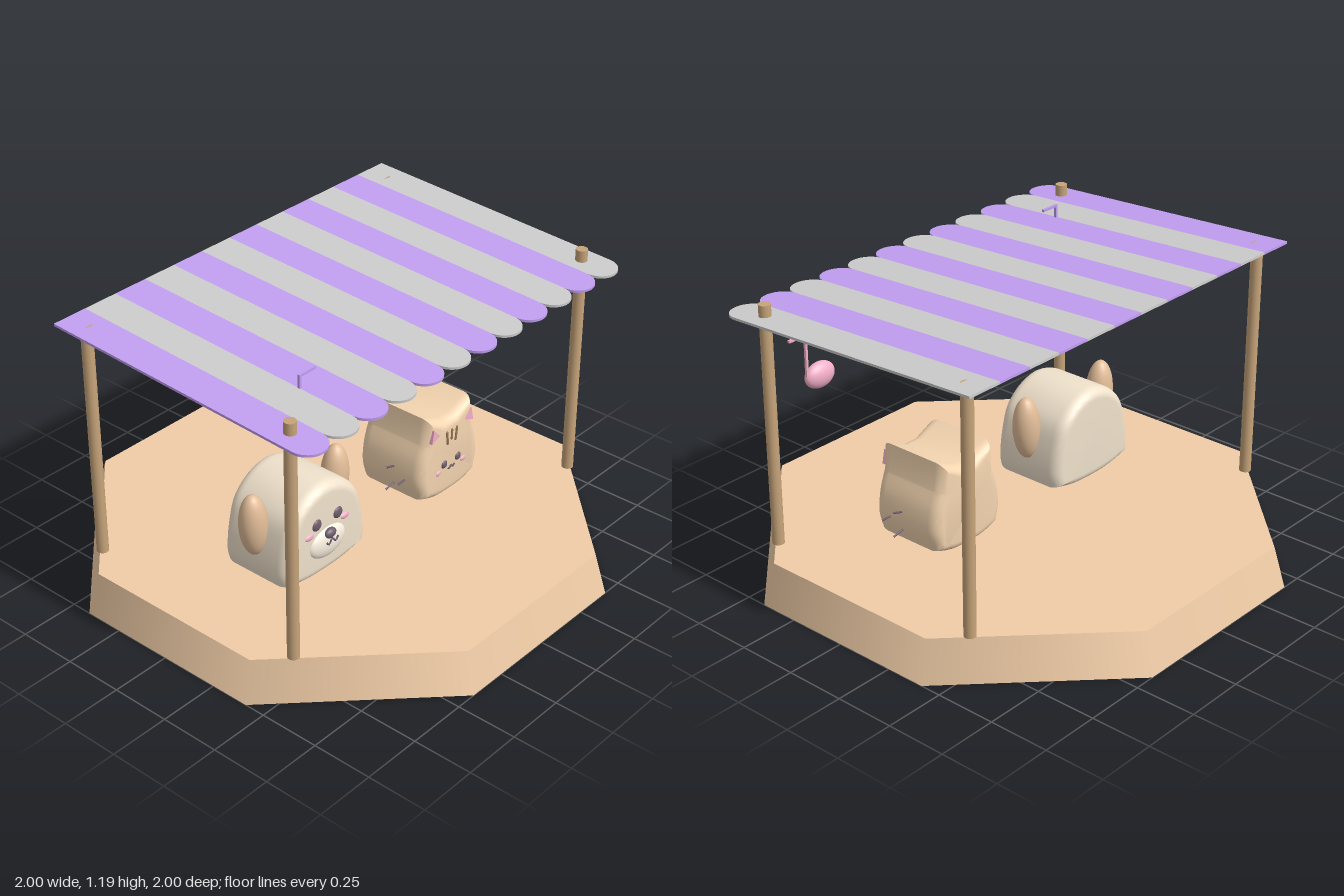
import * as THREE from 'three';
import { toCreasedNormals } from 'three/addons/utils/BufferGeometryUtils.js';

const mat = (color) => new THREE.MeshStandardMaterial({ color });
const M = {
  wood: mat(0xf1cda7), post: mat(0xc7a47a), purple: mat(0xc19ef1), grey: mat(0xcccccc),
  cream: mat(0xf0e2cc), tan: mat(0xf4d5b0), ear: mat(0xe2bd98), muzzle: mat(0xfaf0e0),
  dark: mat(0x6e5c6c), pink: mat(0xf5b0c8), brown: mat(0x9c7858),
};

function add(parent, name, geo, material, x = 0, y = 0, z = 0) {
  const m = new THREE.Mesh(geo, material);
  m.name = name;
  m.position.set(x, y, z);
  parent.add(m);
  return m;
}

function ellipsoid(parent, name, material, x, y, z, rx, ry, rz) {
  const m = add(parent, name, new THREE.SphereGeometry(1, 24, 16), material, x, y, z);
  m.scale.set(rx, ry, rz);
  return m;
}

// Tube through a few points
function line(parent, name, material, pts, r) {
  const curve = new THREE.CatmullRomCurve3(pts.map((p) => new THREE.Vector3(...p)));
  return add(parent, name, new THREE.TubeGeometry(curve, 14, r, 6), material);
}

// Soft loaf body: silhouette pushed through z with a rounded rim, z from -depth/2 to depth/2
function loaf(shape, depth) {
  const t = 0.05, s = 0.04;
  const g = new THREE.ExtrudeGeometry(shape, {
    depth: depth - 2 * t, bevelThickness: t, bevelSize: s, bevelOffset: -s,
    bevelSegments: 6, curveSegments: 5, steps: 1,
  });
  g.translate(0, 0, t - depth / 2);
  return toCreasedNormals(g, 0.7);
}

// Small w-shaped mouth
function mouth(parent, y, z, w) {
  line(parent, 'mouth', M.dark, [
    [-w, y, z], [-w * 0.55, y - w * 0.45, z], [0, y + w * 0.1, z], [w * 0.55, y - w * 0.45, z], [w, y, z],
  ], 0.004);
}

function makeDog() {
  const dog = new THREE.Group();
  dog.name = 'dog';
  const s = new THREE.Shape();
  s.moveTo(-0.22, 0.03);
  s.splineThru([[-0.12, 0.007], [0, 0], [0.12, 0.007], [0.22, 0.03]].map((p) => new THREE.Vector2(...p)));
  s.splineThru([[0.23, 0.09], [0.215, 0.2], [0.18, 0.3], [0.1, 0.37], [0, 0.397], [-0.1, 0.37],
    [-0.18, 0.3], [-0.215, 0.2], [-0.23, 0.09], [-0.22, 0.03]].map((p) => new THREE.Vector2(...p)));
  add(dog, 'dogBody', loaf(s, 0.33), M.cream);
  ellipsoid(dog, 'muzzle', M.muzzle, 0, 0.145, 0.16, 0.1, 0.066, 0.03);
  ellipsoid(dog, 'nose', M.dark, 0, 0.188, 0.178, 0.03, 0.021, 0.018);
  mouth(dog, 0.165, 0.19, 0.034);
  for (const side of [-1, 1]) {
    const ear = ellipsoid(dog, 'dogEar', M.ear, side * 0.228, 0.262, 0, 0.06, 0.135, 0.055);
    ear.rotation.z = side * -0.06;
    ellipsoid(dog, 'dogEye', M.dark, side * 0.059, 0.245, 0.163, 0.025, 0.025, 0.012);
    ellipsoid(dog, 'dogCheek', M.pink, side * 0.1, 0.21, 0.163, 0.025, 0.014, 0.008);
  }
  return dog;
}

function makeCat() {
  const cat = new THREE.Group();
  cat.name = 'cat';
  const s = new THREE.Shape();
  s.moveTo(-0.165, 0.03);
  s.splineThru([[-0.09, 0.006], [0, 0], [0.09, 0.006], [0.165, 0.03]].map((p) => new THREE.Vector2(...p)));
  s.splineThru([[0.185, 0.11], [0.175, 0.2], [0.147, 0.28]].map((p) => new THREE.Vector2(...p)));
  // ears with a shallow valley between
  [[0.135, 0.395], [0.035, 0.352], [-0.035, 0.352], [-0.135, 0.395], [-0.147, 0.28]].forEach((p) => s.lineTo(...p));
  s.splineThru([[-0.175, 0.2], [-0.185, 0.11], [-0.165, 0.03]].map((p) => new THREE.Vector2(...p)));
  add(cat, 'catBody', loaf(s, 0.33), M.tan);
  mouth(cat, 0.132, 0.166, 0.022);

  for (const side of [-1, 1]) {
    ellipsoid(cat, 'catEye', M.dark, side * 0.043, 0.155, 0.163, 0.018, 0.018, 0.01);
    ellipsoid(cat, 'catCheek', M.pink, side * 0.077, 0.128, 0.163, 0.018, 0.012, 0.007);
    const tri = new THREE.Shape([[-0.026, -0.028], [0.024, -0.008], [-0.014, 0.03]]
      .map(([x, y]) => new THREE.Vector2(-side * x, y)));
    const inner = new THREE.ExtrudeGeometry(tri, { depth: 0.04, bevelEnabled: false });
    add(cat, 'innerEar', inner, M.pink, side * 0.104, 0.318, 0.13);
    // whiskers fan out from the cheeks
    [[0.15, 0.02, 0.02], [0.115, 0.08, 0], [0.08, 0.02, -0.015]].forEach(([y, z, dy]) =>
      line(cat, 'whisker', M.dark, [[side * 0.165, y, z], [side * 0.2, y + dy * 0.5, z], [side * 0.232, y + dy, z]], 0.004));
  }
  // forehead stripes
  for (const i of [-1, 0, 1]) {
    const h = i ? 0.055 : 0.04;
    const bar = add(cat, 'foreheadStripe', new THREE.CapsuleGeometry(0.007, h, 4, 8), M.brown, i * 0.028, i ? 0.272 : 0.28, 0.163);
    bar.rotation.z = i * -0.12;
  }
  return cat;
}

// Egg-shaped ornament on a bent hook
function makeHanger(name, material) {
  const g = new THREE.Group();
  g.name = name;
  ellipsoid(g, 'ornament', material, 0, 0, 0, 0.07, 0.052, 0.034);
  add(g, 'hookRod', new THREE.BoxGeometry(0.01, 0.18, 0.01), material, 0.062, 0.095, 0);
  add(g, 'hookArm', new THREE.BoxGeometry(0.086, 0.01, 0.01), material, 0.1, 0.18, 0);
  return g;
}

export function createModel() {
  const root = new THREE.Group();
  root.name = 'petPavilion';

  // octagonal platform
  const k = 1 / Math.cos(Math.PI / 8);
  const platform = new THREE.CylinderGeometry(0.955 * k, k, 0.17, 8);
  platform.rotateY(Math.PI / 8);
  add(root, 'platform', platform, M.wood, 0, 0.085, 0);

  // corner posts
  for (const x of [-0.835, 0.835])
    for (const z of [-0.5, 0.5])
      add(root, 'post', new THREE.CylinderGeometry(0.024, 0.024, 1, 20), M.post, x, 0.67, z);

  // striped awning with a scalloped front edge
  const awning = new THREE.Group();
  awning.name = 'awning';
  awning.position.set(0, 1.14, 0.035);
  awning.rotation.x = 0.048;
  const n = 12, w = 1.83 / n;
  const strip = new THREE.Shape();
  strip.moveTo(w / 2, 0.62);
  strip.lineTo(-w / 2, 0.62);
  strip.lineTo(-w / 2, -0.545);
  strip.absellipse(0, -0.545, w / 2, 0.075, Math.PI, Math.PI * 2, false);
  const stripGeo = new THREE.ExtrudeGeometry(strip, { depth: 0.01, bevelEnabled: false, curveSegments: 16 });
  stripGeo.rotateX(-Math.PI / 2).translate(0, -0.005, 0);
  for (let i = 0; i < n; i++)
    add(awning, 'awningStripe', stripGeo, i % 2 ? M.grey : M.purple, -0.915 + (i + 0.5) * w);
  root.add(awning);

  const dog = makeDog();
  dog.position.set(-0.369, 0.17, 0.085);
  const cat = makeCat();
  cat.position.set(0.363, 0.17, 0.095);
  const purpleHanger = makeHanger('purpleHanger', M.purple);
  purpleHanger.position.set(-0.67, 1.0, 0.337);
  const pinkHanger = makeHanger('pinkHanger', M.pink);
  pinkHanger.position.set(0.73, 0.9, 0.337);
  root.add(dog, cat, purpleHanger, pinkHanger);
  return root;
}
